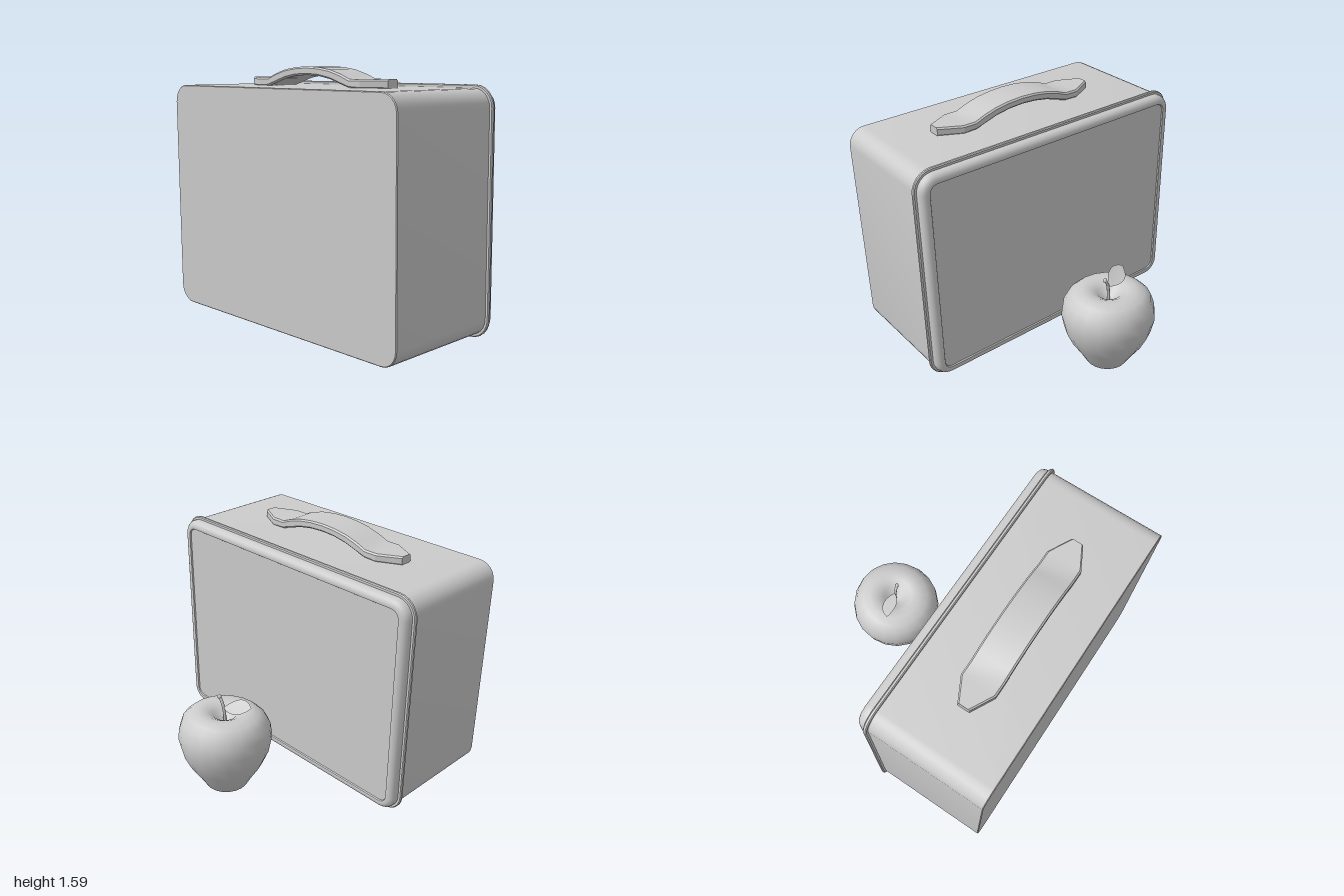
import * as THREE from 'three';
import { toCreasedNormals } from 'three/addons/utils/BufferGeometryUtils.js';

const grey = new THREE.MeshStandardMaterial({ color: 0xcccccc });
const thin = new THREE.MeshStandardMaterial({ color: 0xcccccc, side: THREE.DoubleSide });

function mesh(name, geometry, material = grey) {
  const m = new THREE.Mesh(geometry, material);
  m.name = name;
  return m;
}

// Skin closed rings of equal length, with a fan cap at each end.
function loft(rings, crease = 0.6) {
  const n = rings[0].length, pos = rings.flat(2), idx = [];
  for (let i = 0; i < rings.length - 1; i++) {
    for (let j = 0; j < n; j++) {
      const a = i * n + j, b = i * n + (j + 1) % n;
      idx.push(a, b, b + n, a, b + n, a + n);
    }
  }
  const cap = (start, flip) => {
    const c = pos.length / 3;
    for (let k = 0; k < 3; k++) {
      let sum = 0;
      for (let j = 0; j < n; j++) sum += pos[(start + j) * 3 + k];
      pos.push(sum / n);
    }
    for (let j = 0; j < n; j++) {
      const a = start + j, b = start + (j + 1) % n;
      idx.push(c, flip ? b : a, flip ? a : b);
    }
  };
  cap(0, true);
  cap((rings.length - 1) * n, false);
  const g = new THREE.BufferGeometry();
  g.setAttribute('position', new THREE.Float32BufferAttribute(pos, 3));
  g.setIndex(idx);
  return toCreasedNormals(g, crease);
}

// Rounded rectangle of the case, shrunk by an inset.
const W = 1, H = 0.7425, R = 0.13, STEPS = 6;
function caseRing([inset, z]) {
  const r = R - inset, ring = [];
  [[1, 1], [-1, 1], [-1, -1], [1, -1]].forEach(([sx, sy], q) => {
    for (let i = 0; i <= STEPS; i++) {
      const a = (q + i / STEPS) * Math.PI / 2;
      ring.push([sx * (W - R) + r * Math.cos(a), H + sy * (H - R) + r * Math.sin(a), z]);
    }
  });
  return ring;
}

// Handle cross-section: a rectangle with chamfered corners.
function handleRing([x, bottom, top, half]) {
  const c = 0.01, z = 0.44;
  return [
    [top, -half + c], [top, half - c], [top - c, half], [bottom + c, half],
    [bottom, half - c], [bottom, -half + c], [bottom + c, -half], [top - c, -half],
  ].map(([y, dz]) => [x, y, z + dz]);
}

function createLunchBox() {
  const box = new THREE.Group();
  box.name = 'lunchBox';
  box.add(mesh('body', loft([[0.02, 0.04], [0.02, 0.82], [0.025, 0.825]].map(caseRing))));
  box.add(mesh('rim', loft([[0.006, 0.033], [0, 0.039], [0, 0.051], [0.006, 0.057]].map(caseRing))));
  // Lid with a rounded edge and a shallow recessed panel
  box.add(mesh('lid', loft([
    [0.08, -0.016], [0.075, -0.024], [0.065, -0.026], [0.05, -0.024],
    [0.036, -0.016], [0.026, -0.004], [0.021, 0.012], [0.02, 0.04],
  ].map(caseRing))));

  // Handle: flat pointed feet joined by an arched grip
  const halfProfile = [
    [0.597, 1.46, 1.517, 0.04], [0.45, 1.46, 1.515, 0.116], [0.36, 1.464, 1.515, 0.116],
    [0.29, 1.485, 1.542, 0.116], [0.2, 1.513, 1.567, 0.116], [0.1, 1.53, 1.581, 0.116],
  ];
  const sections = [
    ...halfProfile.map(([x, ...rest]) => [-x, ...rest]),
    [0, 1.535, 1.586, 0.116],
    ...[...halfProfile].reverse(),
  ];
  box.add(mesh('handle', loft(sections.map(handleRing), 0.4)));
  return box;
}

function createApple() {
  const apple = new THREE.Group();
  apple.name = 'apple';
  // Fruit turned from a profile, dimpled at both ends
  const profile = [
    [0, 0.08], [0.05, 0.065], [0.085, 0.03], [0.11, 0.02], [0.14, 0.03], [0.18, 0.1],
    [0.24, 0.195], [0.28, 0.285], [0.3, 0.38], [0.292, 0.45], [0.268, 0.51], [0.225, 0.55],
    [0.17, 0.568], [0.12, 0.564], [0.075, 0.54], [0.035, 0.495], [0, 0.47],
  ].map(([x, y]) => new THREE.Vector2(x, y));
  const fruit = new THREE.LatheGeometry(profile, 20);
  const p = fruit.attributes.position;
  for (let i = 0; i < p.count; i++) {
    // Tip the top lip slightly lower towards the front
    if (p.getY(i) > 0.5) p.setY(i, p.getY(i) - 0.05 * p.getZ(i));
  }
  apple.add(mesh('fruit', fruit));

  // Curved stem with a thicker tip
  const stemPath = new THREE.CatmullRomCurve3([
    new THREE.Vector3(0, 0.46, 0), new THREE.Vector3(0.003, 0.55, 0.002),
    new THREE.Vector3(0.015, 0.61, 0), new THREE.Vector3(0.04, 0.655, -0.003),
  ]);
  apple.add(mesh('stem', new THREE.TubeGeometry(stemPath, 8, 0.01, 8)));
  const tip = mesh('stemTip', new THREE.SphereGeometry(0.014, 8, 6));
  tip.position.set(0.04, 0.653, -0.003);
  apple.add(tip);

  // Leaf: flat outline laid over the fruit, rising towards the front
  const outline = new THREE.Shape();
  outline.moveTo(0.005, 0);
  outline.bezierCurveTo(-0.05, -0.035, -0.15, -0.045, -0.18, 0.07);
  outline.bezierCurveTo(-0.11, 0.1, -0.04, 0.08, 0.005, 0);
  const leaf = new THREE.ShapeGeometry(outline, 8);
  const l = leaf.attributes.position;
  for (let i = 0; i < l.count; i++) {
    const x = l.getX(i), z = l.getY(i);
    l.setXYZ(i, x, 0.59 + 0.6 * z + 0.25 * Math.sin(-x * 17) * 0.06, z);
  }
  leaf.computeVertexNormals();
  apple.add(mesh('leaf', leaf, thin));

  apple.position.z = -0.53;
  return apple;
}

export function createModel() {
  const model = new THREE.Group();
  model.name = 'lunchBoxAndApple';
  model.add(createLunchBox(), createApple());
  return model;
}
